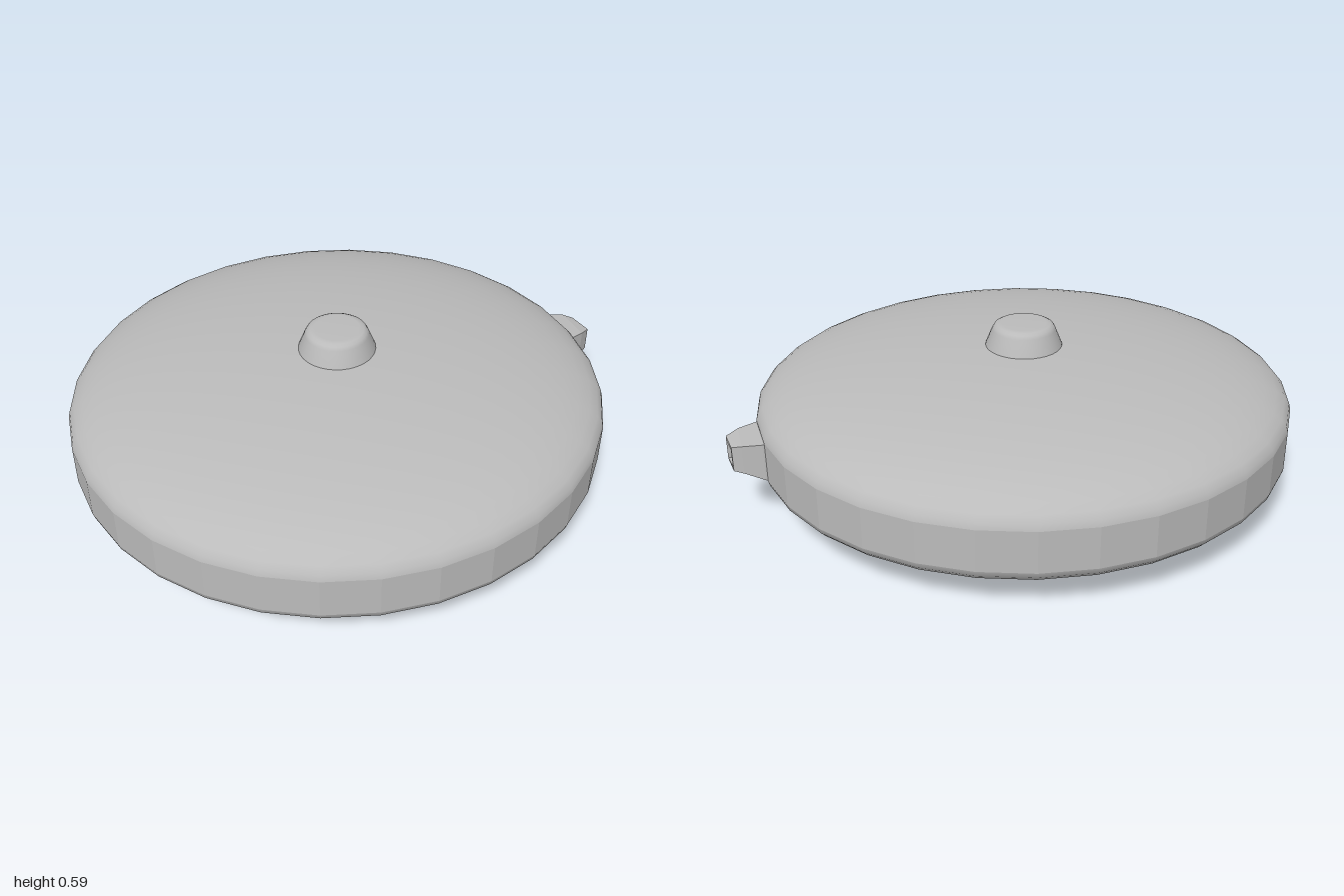
import * as THREE from 'three';

const SIDES = 32;
const CENTRE_X = -0.053;
const RX = 0.947, RZ = 0.925;

export function createModel() {
  const group = new THREE.Group();
  const grey = new THREE.MeshStandardMaterial({ color: 0xbbbbbb });
  grey.name = 'grey';

  const add = (name, geometry, x = CENTRE_X) => {
    const mesh = new THREE.Mesh(geometry, grey);
    mesh.name = name;
    mesh.position.x = x;
    group.add(mesh);
    return mesh;
  };
  const faceted = (geometry) => {
    const flat = geometry.index ? geometry.toNonIndexed() : geometry;
    flat.computeVertexNormals();
    return flat;
  };

  // Shallow elliptical dome, from its pole to the rim (profile runs upwards)
  const dome = (rimY, poleY) => {
    const points = [];
    for (let i = 0; i <= 14; i++) {
      const a = (i / 14) * Math.PI / 2;
      points.push(new THREE.Vector2(Math.max(0, Math.cos(a)), rimY + (poleY - rimY) * Math.sin(a)));
    }
    points[14].x = 0;
    if (poleY < rimY) points.reverse();
    const geometry = new THREE.LatheGeometry(points, SIDES);
    geometry.scale(RX, 1, RZ);
    return geometry;
  };
  add('upperDome', dome(0.315, 0.507));
  add('lowerDome', dome(0.17, 0));

  // Faceted band between the domes
  const band = new THREE.CylinderGeometry(1, 1, 0.145, SIDES, 1, true);
  band.scale(RX, 1, RZ);
  band.translate(0, 0.2425, 0);
  add('sideBand', faceted(band));

  // Knob with a rounded upper edge
  const knob = [[0.138, 0.495], [0.134, 0.51], [0.112, 0.565], [0.105, 0.577],
    [0.094, 0.583], [0.078, 0.586], [0, 0.586]].map(([r, y]) => new THREE.Vector2(r, y));
  add('topKnob', new THREE.LatheGeometry(knob, SIDES));

  // Tapered side nozzle: [x near front, x near back, z front, z back, y low, y high]
  const sections = [
    [0.84, 0.84, 0.003, -0.183, 0.172, 0.312],
    [0.89, 0.882, 0.0, -0.18, 0.176, 0.31],
    [0.958, 0.95, -0.026, -0.164, 0.202, 0.304],
    [1.0, 0.984, -0.055, -0.144, 0.205, 0.294],
    [1.0, 0.986, -0.066, -0.134, 0.216, 0.283],
    [0.975, 0.961, -0.066, -0.134, 0.216, 0.283],
  ];
  const loops = sections.map(([xf, xb, zf, zb, lo, hi]) =>
    [[xf, lo, zf], [xb, lo, zb], [xb, hi, zb], [xf, hi, zf]]);
  const positions = [];
  const quad = (a, b, c, d) => positions.push(...a, ...b, ...c, ...a, ...c, ...d);
  for (let s = 0; s < loops.length - 1; s++) {
    for (let i = 0; i < 4; i++) {
      const j = (i + 1) % 4;
      quad(loops[s][i], loops[s][j], loops[s + 1][j], loops[s + 1][i]);
    }
  }
  quad(...loops[loops.length - 1]);
  const nozzle = new THREE.BufferGeometry();
  nozzle.setAttribute('position', new THREE.Float32BufferAttribute(positions, 3));
  add('sideNozzle', faceted(nozzle), 0);

  return group;
}
